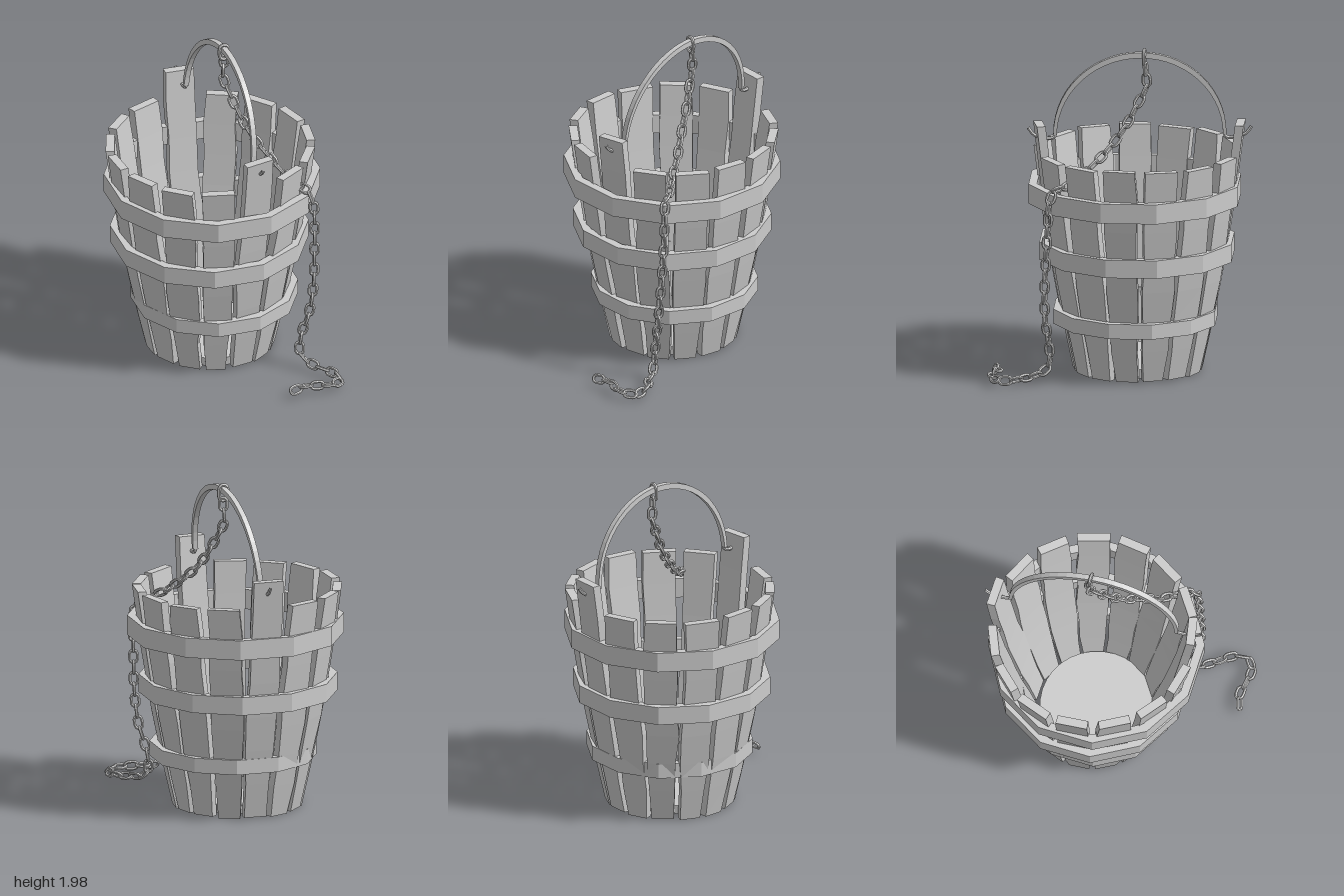
import * as THREE from 'three';

const CX = -0.16; // bucket axis
const mat = new THREE.MeshStandardMaterial({ color: 0xcccccc, flatShading: true });

let seed = 7;
const rand = () => {
  seed = (seed * 16807) % 2147483647;
  return seed / 2147483647 - 0.5;
};

function add(parent, name, geometry) {
  const mesh = new THREE.Mesh(geometry, mat);
  mesh.name = name;
  parent.add(mesh);
  return mesh;
}

// Outer radius of the tapered, slightly bulging wall
function wallRadius(y) {
  const t = y / 1.36;
  return 0.38 + 0.24 * t + 0.02 * Math.sin(Math.PI * t);
}

// One rough-edged plank: a box tapered and leaned outward
function staveGeometry(bottom, top, lean, widen) {
  const rows = 7, depth = 0.052;
  const geo = new THREE.BoxGeometry(1, 1, 1, 1, rows, 1);
  const wobble = Array.from({ length: rows + 1 }, () => [rand() * 0.018, rand() * 0.018]);
  const tilt = rand() * 0.014;
  const p = geo.attributes.position;
  for (let i = 0; i < p.count; i++) {
    const sx = p.getX(i), k = p.getY(i) + 0.5, sz = p.getZ(i);
    const y = bottom + k * (top - bottom);
    const width = 0.13 + 0.058 * Math.min(1, k / 0.43) + widen * k;
    const edge = wobble[Math.round(k * rows)][sx > 0 ? 1 : 0];
    const r = wallRadius(y) + lean * k - (sz < 0 ? depth : 0);
    p.setXYZ(i, sx * width * (sz < 0 ? 0.97 : 1) + edge, y + tilt * sx * k, r);
  }
  return geo;
}

function addStaves(parent) {
  const group = new THREE.Group();
  group.name = 'staves';
  group.position.set(-0.018, 0, -0.008);
  const count = 15;
  const tallLean = { 5: -0.025, 13: -0.005 }; // planks that carry the handle
  for (let i = 0; i < count; i++) {
    const tall = i in tallLean;
    const top = tall ? 1.525 : 1.355 + rand() * 0.012;
    const geo = staveGeometry(0.015 + rand() * 0.012, top, tall ? tallLean[i] : 0, tall ? -0.005 : 0.01);
    const stave = add(group, tall ? 'handleStave' : 'stave', geo);
    stave.rotation.y = THREE.MathUtils.degToRad(176 - (i * 360) / count);
  }
  parent.add(group);
}

// Twelve-sided hoop with a rectangular section
function addHoop(parent, name, radius, y0, y1, x, z) {
  const inner = radius - 0.052;
  const profile = [[inner, y0], [radius, y0], [radius, y1], [inner, y1], [inner, y0]];
  const hoop = add(parent, name, new THREE.LatheGeometry(profile.map(([r, y]) => new THREE.Vector2(r, y)), 12));
  hoop.position.set(x, 0, z);
}

// Bent strap, thinner toward the ends, with a hook at each end
function addHandle(parent) {
  const group = new THREE.Group();
  group.name = 'handle';
  group.position.set(-0.143, 0, -0.065);
  group.rotation.y = THREE.MathUtils.degToRad(-40);
  const geo = new THREE.BoxGeometry(1, 1, 1, 28, 1, 1);
  const p = geo.attributes.position;
  for (let i = 0; i < p.count; i++) {
    const a = Math.PI * (0.5 - p.getX(i)), s = Math.sin(a);
    const off = p.getY(i) * (0.02 + 0.014 * s);
    p.setXYZ(i,
      Math.cos(a) * (0.505 + off),
      1.46 + s * (0.495 + off),
      p.getZ(i) * 0.032 - 0.04 * s);
  }
  add(group, 'handleStrap', geo);
  for (const side of [-1, 1]) {
    const path = [[0.505, 1.48], [0.505, 1.45], [0.525, 1.437], [0.59, 1.442], [0.635, 1.465], [0.665, 1.505]];
    const curve = new THREE.CatmullRomCurve3(path.map(([x, y]) => new THREE.Vector3(side * x, y, 0)));
    add(group, 'handleHook', new THREE.TubeGeometry(curve, 14, 0.011, 6));
  }
  parent.add(group);
}

// Oval chain link, long along y
function linkGeometry(length, width, wire) {
  const r = width / 2 - wire, h = length / 2 - wire - r;
  const pts = [];
  for (let i = 0; i < 16; i++) {
    const a = ((i + 0.5) / 16) * Math.PI * 2;
    pts.push(new THREE.Vector3(r * Math.cos(a), r * Math.sin(a) + Math.sign(Math.sin(a)) * h, 0));
  }
  return new THREE.TubeGeometry(new THREE.CatmullRomCurve3(pts, true), 20, wire, 6, true);
}

function addChain(parent) {
  const group = new THREE.Group();
  group.name = 'chain';
  // From the handle, over the rim, down the side and curling on the ground
  const path = new THREE.CatmullRomCurve3([
    [-0.14, 1.87, -0.12], [-0.145, 1.76, -0.12], [-0.09, 1.66, -0.105], [-0.02, 1.55, -0.09],
    [0.06, 1.45, -0.07], [0.165, 1.36, -0.055], [0.3, 1.265, -0.03], [0.41, 1.215, -0.015],
    [0.475, 1.2, 0], [0.515, 1.13, 0.005], [0.525, 1.02, 0.005], [0.53, 0.8, 0.015],
    [0.53, 0.58, 0.03], [0.51, 0.4, 0.045], [0.468, 0.25, 0.06], [0.46, 0.13, 0.068],
    [0.5, 0.085, 0.075], [0.585, 0.065, 0.09], [0.71, 0.06, 0.11], [0.775, 0.06, 0.165],
    [0.757, 0.065, 0.24], [0.69, 0.07, 0.295], [0.63, 0.07, 0.335], [0.597, 0.065, 0.39],
  ].map((v) => new THREE.Vector3(...v)));
  path.arcLengthDivisions = 600;
  const link = linkGeometry(0.096, 0.064, 0.0095);
  const steps = Math.round(path.getLength() / 0.069);
  const down = new THREE.Vector3(0, -1, 0);
  for (let i = 0; i <= steps; i++) {
    const mesh = add(group, 'chainLink', link);
    mesh.position.copy(path.getPointAt(i / steps));
    mesh.quaternion.setFromUnitVectors(down, path.getTangentAt(i / steps));
    mesh.rotateY(0.5 + (i % 2) * Math.PI / 2);
  }
  // Larger link looped around the strap
  const loop = add(group, 'topLink', linkGeometry(0.12, 0.075, 0.011));
  loop.position.set(-0.137, 1.937, -0.112);
  loop.rotation.y = 0.75;
  parent.add(group);
}

export function createModel() {
  const model = new THREE.Group();
  model.name = 'bucket';

  const body = new THREE.Group();
  body.name = 'bucketBody';
  body.position.x = CX;
  addStaves(body);
  addHoop(body, 'topHoop', 0.645, 1.05, 1.17, 0, 0);
  addHoop(body, 'middleHoop', 0.592, 0.7, 0.81, -0.018, 0);
  addHoop(body, 'bottomHoop', 0.498, 0.31, 0.4, 0.008, -0.015);
  add(body, 'bucketFloor', new THREE.CylinderGeometry(0.34, 0.335, 0.055, 32)).position.set(0, 0.055, 0.008);
  model.add(body);

  addHandle(model);
  addChain(model);
  return model;
}
